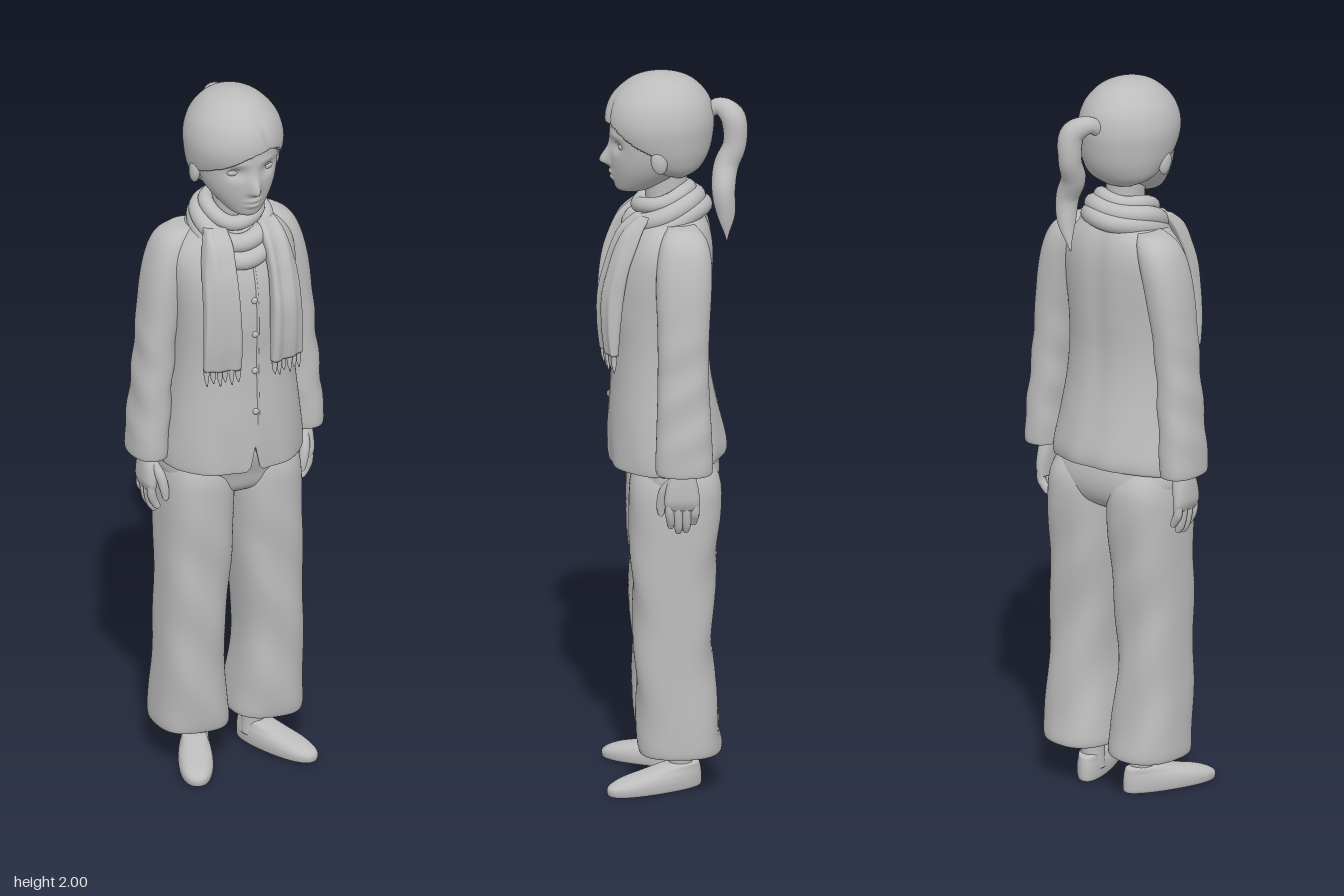
import * as THREE from 'three';

const grey = new THREE.MeshStandardMaterial({ color: 0xbcbcbc });
grey.name = 'grey clay';
const V = (x, y, z) => new THREE.Vector3(x, y, z);
const clamp01 = (v) => Math.min(1, Math.max(0, v));
const bump = (d, w) => Math.exp(-(d * d) / (w * w));

// Smooth interpolation through rows of numbers
function spline(rows, t) {
  const f = t * (rows.length - 1), i = Math.min(Math.floor(f), rows.length - 2), u = f - i;
  const at = (k) => rows[Math.min(rows.length - 1, Math.max(0, k))];
  return rows[0].map((_, c) => {
    const [a, b, d, e] = [at(i - 1)[c], at(i)[c], at(i + 1)[c], at(i + 2)[c]];
    return b + 0.5 * u * (d - a + u * (2 * a - 5 * b + 4 * d - e + u * (3 * (b - d) + e - a)));
  });
}

// Closed body from sections [y, centre x, half width, front z, back z], lowest first
function loft(sections, { n = 40, rows = 40, power = 2, side = 1, warp } = {}) {
  const pos = [], index = [];
  const round = (v) => Math.sign(v) * Math.abs(v) ** (2 / power);
  const add = (p) => { if (warp) warp(p); pos.push(p.x, p.y, p.z); };
  for (let r = 0; r <= rows; r++) {
    const [y, cx, rx, zf, zb] = spline(sections, r / rows);
    for (let i = 0; i < n; i++) {
      const a = (i / n) * Math.PI * 2;
      add(V(cx * side + rx * round(Math.sin(a)), y, (zf + zb) / 2 + ((zf - zb) / 2) * round(Math.cos(a))));
      if (r < rows) {
        const p = r * n + i, q = r * n + ((i + 1) % n);
        index.push(p, q, q + n, p, q + n, p + n);
      }
    }
  }
  for (const [s, flip] of [[sections[0], true], [sections[sections.length - 1], false]]) {
    const c = pos.length / 3, base = flip ? 0 : rows * n;
    add(V(s[1] * side, s[0], (s[3] + s[4]) / 2));
    for (let i = 0; i < n; i++) {
      const p = base + i, q = base + ((i + 1) % n);
      index.push(c, flip ? q : p, flip ? p : q);
    }
  }
  const g = new THREE.BufferGeometry();
  g.setAttribute('position', new THREE.Float32BufferAttribute(pos, 3));
  g.setIndex(index);
  g.computeVertexNormals();
  return g;
}

// Tube with a radius for each path point
function taper(points, radii, segs = 24, sides = 12) {
  const curve = new THREE.CatmullRomCurve3(points);
  const g = new THREE.TubeGeometry(curve, segs, 1, sides), p = g.attributes.position, v = V(0, 0, 0);
  for (let i = 0; i < p.count; i++) {
    const t = Math.floor(i / (sides + 1)) / segs, c = curve.getPointAt(t);
    const r = Math.max(0.0005, spline(radii.map((k) => [k]), curve.getUtoTmapping(t))[0]);
    v.fromBufferAttribute(p, i).sub(c).multiplyScalar(r).add(c);
    p.setXYZ(i, v.x, v.y, v.z);
  }
  return g;
}

export function createModel() {
  const model = new THREE.Group();
  const add = (name, geo, parent = model) => {
    const m = new THREE.Mesh(geo, grey);
    m.name = name;
    parent.add(m);
    return m;
  };
  const ball = (name, x, y, z, rx, ry, rz, parent) => {
    const m = add(name, new THREE.SphereGeometry(1, 20, 14), parent);
    m.position.set(x, y, z);
    m.scale.set(rx, ry, rz);
    return m;
  };

  // Face with nose, lips, brow and eye sockets
  add('head', loft([
    [1.668, 0, 0.02, 0.135, 0.08], [1.678, 0, 0.042, 0.148, 0.05], [1.705, 0, 0.068, 0.155, 0],
    [1.74, 0, 0.092, 0.161, -0.05], [1.78, 0, 0.107, 0.164, -0.08], [1.83, 0, 0.114, 0.164, -0.09],
    [1.88, 0, 0.113, 0.158, -0.09], [1.93, 0, 0.09, 0.13, -0.07], [1.96, 0, 0.04, 0.08, -0.02],
  ], { n: 96, rows: 90, warp: (p) => {
    if (p.z < 0.06) return;
    const ax = Math.abs(p.x);
    p.z += 0.029 * bump(ax, 0.014) * bump(p.y - 1.752, p.y > 1.752 ? 0.034 : 0.012);
    p.z += 0.008 * bump(ax, 0.02) * (bump(p.y - 1.722, 0.007) + bump(p.y - 1.706, 0.007));
    p.z -= 0.014 * bump(ax - 0.047, 0.024) * bump(p.y - 1.807, 0.018);
    p.z += 0.004 * bump(ax - 0.045, 0.03) * bump(p.y - 1.835, 0.01);
  } }));
  add('neck', loft([[1.54, 0, 0.06, 0.07, -0.05], [1.62, 0, 0.05, 0.065, -0.045], [1.72, 0, 0.05, 0.075, -0.045]]));
  for (const s of [1, -1]) {
    ball('eye', s * 0.047, 1.807, 0.131, 0.021, 0.011, 0.012);
    add('eyelid', taper([V(s * 0.024, 1.806, 0.146), V(s * 0.047, 1.819, 0.143), V(s * 0.073, 1.807, 0.122)],
      [0.001, 0.004, 0.001], 12, 8));
    ball('ear', s * 0.118, 1.782, 0.035, 0.013, 0.034, 0.022).rotation.x = 0.2;
  }

  // Hair cap, cut back below a swept fringe
  add('hair', loft([
    [1.715, 0, 0.05, 0.01, -0.05], [1.74, 0, 0.095, 0.07, -0.083], [1.78, 0, 0.119, 0.13, -0.105],
    [1.83, 0, 0.131, 0.168, -0.116], [1.88, 0, 0.133, 0.176, -0.118], [1.93, 0, 0.117, 0.16, -0.105],
    [1.97, 0, 0.084, 0.122, -0.072], [1.99, 0, 0.05, 0.085, -0.035], [2.0, 0, 0.01, 0.035, 0.015],
  ], { n: 120, rows: 110, warp: (p) => {
    const d = p.x - 0.045, line = 1.868 - (d < 0 ? 2.9 : 12) * d * d;
    if (p.z > 0.05 && p.y < line) { p.x *= 0.85; p.z -= 0.035; }
    else if (p.z > 0.05) p.z -= 0.006 * bump(p.x - 0.045 + (p.y - 1.87) * 0.3, 0.008) * clamp01((1.96 - p.y) / 0.05);
  } }));
  add('ponytail', taper([
    V(0, 1.875, -0.09), V(0.012, 1.905, -0.13), V(0.04, 1.885, -0.166), V(0.045, 1.81, -0.172),
    V(0.052, 1.75, -0.148), V(0.078, 1.69, -0.14), V(0.076, 1.62, -0.147), V(0.06, 1.54, -0.15),
  ], [0.018, 0.024, 0.034, 0.032, 0.034, 0.032, 0.025, 0.002], 60, 20));

  // Jacket body with a notched front hem
  const body = [
    [0.95, 0, 0.18, 0.145, -0.13], [0.912, 0, 0.197, 0.165, -0.147], [0.95, 0, 0.2, 0.168, -0.15],
    [1.05, 0, 0.187, 0.166, -0.132], [1.15, 0, 0.174, 0.16, -0.113], [1.25, 0, 0.168, 0.157, -0.105],
    [1.35, 0, 0.17, 0.161, -0.11], [1.45, 0, 0.178, 0.152, -0.116], [1.52, 0, 0.178, 0.13, -0.116],
    [1.57, 0, 0.155, 0.105, -0.108], [1.61, 0, 0.105, 0.08, -0.092], [1.645, 0, 0.06, 0.06, -0.07],
  ];
  add('jacket', loft(body, { n: 120, rows: 80, power: 2.2, warp: (p) => {
    const low = clamp01((1.06 - p.y) / 0.14);
    p.z += 0.003 * Math.sin(p.x * 55 + p.y * 9) * low;
    if (p.z > 0.05) p.y += 0.075 * Math.max(0, 1 - Math.abs(p.x) / 0.016) * low;
    p.y += 0.025 * clamp01(-p.z / 0.15) * low;
    p.z += 0.006 * bump(p.x, 0.03) * clamp01(-p.z / 0.1) * clamp01((p.y - 1.0) / 0.2);
  } }));
  add('placket', taper(body.slice(3, 10).map((s) => V(0.012, s[0], s[3] - 0.002)), [0.004, 0.004], 40, 8));
  for (const [y, z] of [[1.42, 0.157], [1.32, 0.161], [1.21, 0.159], [1.09, 0.165]])
    ball('button', 0.003, y, z, 0.009, 0.009, 0.006);

  // Scarf: three draped loops and two fringed tails
  for (const [rx, rz, y, drop, r] of [
    [0.07, 0.068, 1.672, 0.045, 0.021], [0.09, 0.088, 1.65, 0.075, 0.026], [0.093, 0.105, 1.625, 0.095, 0.027],
  ]) {
    const ring = Array.from({ length: 24 }, (_, i) => {
      const a = (i / 24) * Math.PI * 2;
      return V(rx * Math.sin(a), y - drop * ((1 + Math.cos(a)) / 2) ** 1.5 + 0.004 * Math.sin(3 * a), 0.018 + rz * Math.cos(a));
    });
    add('scarfLoop', new THREE.TubeGeometry(new THREE.CatmullRomCurve3(ring, true), 80, r, 16, true));
  }
  for (const [s, bottom, cx, dz] of [[1, 1.24, 0.092, 0.008], [-1, 1.235, 0.095, 0]]) {
    const tail = [
      [bottom, cx, 0.05, 0.174 + dz, 0.148 + dz], [1.31, cx, 0.05, 0.182 + dz, 0.15], [1.4, cx, 0.047, 0.182 + dz, 0.14],
      [1.48, cx, 0.044, 0.172, 0.125], [1.54, cx - 0.005, 0.04, 0.152, 0.1], [1.585, cx - 0.012, 0.036, 0.128, 0.075],
      [1.62, cx - 0.018, 0.028, 0.09, 0.05],
    ];
    const lean = (p) => {
      const d = p.x * s - cx;
      p.z += -0.22 * d + 0.004 * Math.sin(d * 130);
    };
    add('scarfTail', loft(tail, { n: 64, rows: 40, power: 4, side: s, warp: lean }));
    for (let i = 0; i < 6; i++) {
      const p = V(s * (cx - 0.041 + i * 0.0165), bottom, 0.161 + dz);
      lean(p);
      const tip = bottom - 0.04 - 0.008 * (i % 2);
      add('scarfFringe', taper([V(p.x, bottom + 0.01, p.z), V(p.x, bottom - 0.02, p.z), V(p.x + 0.002, tip, p.z)],
        [0.008, 0.0075, 0.002], 8, 8));
    }
  }

  // Trouser seat
  const crease = (p) => { p.z += 0.004 * Math.sin(p.y * 24 + p.x * 30) * clamp01((0.85 - p.y) / 0.2); };
  add('trouserSeat', loft([
    [0.8, 0, 0.07, 0.05, -0.07], [0.83, 0, 0.15, 0.095, -0.115], [0.88, 0, 0.192, 0.112, -0.132],
    [0.94, 0, 0.185, 0.13, -0.125], [1.0, 0, 0.165, 0.12, -0.1],
  ], { n: 60, power: 2.4 }));

  for (const s of [1, -1]) {
    // Wide trouser leg, ankle and shoe
    add('trouserLeg', loft([
      [0.15, 0.11, 0.075, 0.06, -0.1], [0.115, 0.11, 0.092, 0.08, -0.124], [0.125, 0.11, 0.102, 0.09, -0.135],
      [0.2, 0.113, 0.098, 0.095, -0.126], [0.35, 0.118, 0.088, 0.1, -0.112], [0.5, 0.112, 0.092, 0.105, -0.11],
      [0.65, 0.105, 0.097, 0.111, -0.12], [0.8, 0.101, 0.099, 0.116, -0.133], [0.88, 0.1, 0.092, 0.112, -0.13],
      [0.94, 0.095, 0.075, 0.09, -0.1],
    ], { n: 56, rows: 64, power: 2.5, side: s, warp: crease }));
    add('ankle', loft([[0.03, 0.085, 0.034, 0.015, -0.06], [0.08, 0.084, 0.032, 0.01, -0.056],
      [0.2, 0.09, 0.04, 0.03, -0.06]], { side: s }));
    const shoe = add('shoe', loft([
      [0, 0, 0.038, 0.132, -0.128], [0.006, 0, 0.045, 0.14, -0.134], [0.025, 0, 0.047, 0.138, -0.135],
      [0.042, 0, 0.044, 0.105, -0.134], [0.055, 0, 0.038, 0.05, -0.132], [0.068, 0, 0.033, -0.01, -0.128],
      [0.072, 0, 0.026, -0.03, -0.12],
    ], { n: 48, power: 2.3, warp: (p) => { p.x *= 1 + 0.9 * p.z * (p.z < 0 ? 1 : 0.6); } }));
    shoe.position.set(s * 0.12, 0, 0.045);
    shoe.rotation.y = s * 0.4;

    // Sleeve with an open-looking cuff
    add('sleeve', loft([
      [0.975, 0.229, 0.035, 0.02, -0.075], [0.938, 0.231, 0.046, 0.042, -0.097], [0.955, 0.232, 0.051, 0.05, -0.105],
      [1.05, 0.226, 0.051, 0.047, -0.102], [1.2, 0.213, 0.05, 0.043, -0.095], [1.32, 0.202, 0.051, 0.043, -0.097],
      [1.44, 0.184, 0.055, 0.046, -0.104], [1.52, 0.165, 0.055, 0.042, -0.104], [1.57, 0.145, 0.05, 0.03, -0.092],
      [1.6, 0.12, 0.035, 0.01, -0.065],
    ], { n: 48, rows: 60, power: 2.3, side: s, warp: (p) => {
      p.x += s * 0.003 * Math.sin(p.y * 45 + p.z * 25) * clamp01((1.4 - p.y) / 0.2) * clamp01((p.y - 0.95) / 0.1);
    } }));

    // Relaxed hand
    const hand = new THREE.Group();
    hand.name = 'hand';
    model.add(hand);
    add('palm', loft([
      [0.835, 0.232, 0.014, 0.022, -0.068], [0.86, 0.235, 0.02, 0.026, -0.07], [0.9, 0.232, 0.023, 0.02, -0.065],
      [0.94, 0.228, 0.024, 0.008, -0.055], [0.98, 0.228, 0.024, 0.005, -0.05],
    ], { side: s, power: 2.4 }), hand);
    [0.775, 0.76, 0.763, 0.785].forEach((tip, i) => {
      const z = 0.011 - i * 0.0225;
      add('finger', taper([V(s * 0.234, 0.865, z), V(s * 0.234, 0.825, z), V(s * 0.226, tip + 0.025, z * 0.95 - 0.002),
        V(s * 0.214, tip + 0.004, z * 0.9 - 0.002), V(s * 0.213, tip, z * 0.9 - 0.002)],
      [0.012, 0.0125, 0.0115, 0.008, 0.001], 18, 10), hand);
    });
    add('thumb', taper([V(s * 0.225, 0.915, 0.002), V(s * 0.215, 0.88, 0.026), V(s * 0.207, 0.84, 0.034),
      V(s * 0.203, 0.812, 0.033), V(s * 0.203, 0.806, 0.033)], [0.012, 0.0145, 0.0125, 0.008, 0.001], 18, 10), hand);
  }
  return model;
}
